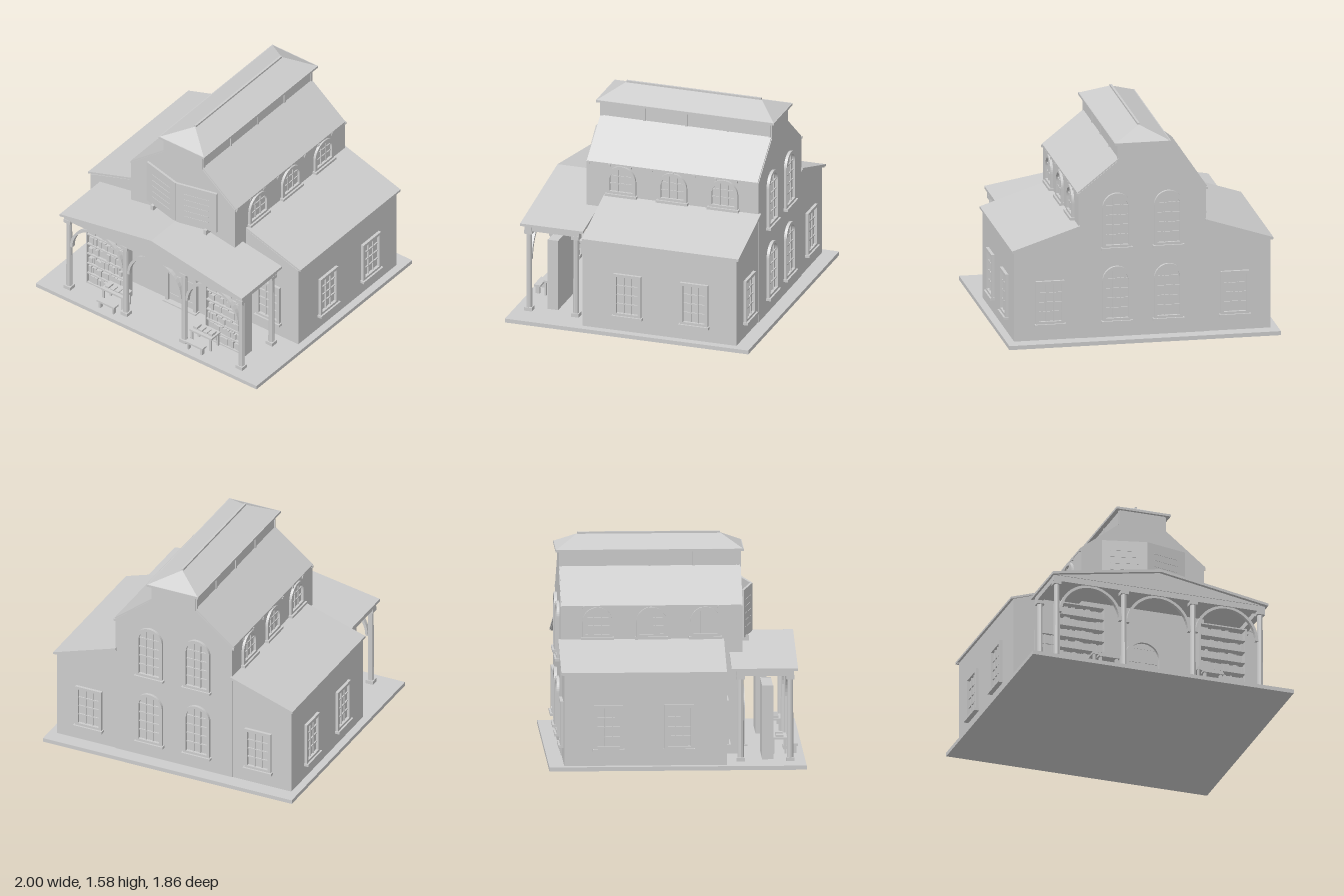
import * as THREE from 'three';

export function createModel() {
  const model = new THREE.Group();
  const stone = new THREE.MeshStandardMaterial({ color: 0xcccccc });
  stone.name = 'pale grey';

  function add(geo, name, parent = model) {
    const m = new THREE.Mesh(geo, stone);
    m.name = name;
    parent.add(m);
    return m;
  }
  // box given by its minimum and maximum corners
  function box(name, x0, x1, y0, y1, z0, z1, parent = model) {
    const m = add(new THREE.BoxGeometry(x1 - x0, y1 - y0, z1 - z0), name, parent);
    m.position.set((x0 + x1) / 2, (y0 + y1) / 2, (z0 + z1) / 2);
    return m;
  }
  const poly = pts => new THREE.Shape(pts.map(p => new THREE.Vector2(p[0], p[1])));
  // outline in xy, extruded from z0 to z1
  function prism(name, shape, z0, z1, parent = model) {
    const g = new THREE.ExtrudeGeometry(shape, { depth: z1 - z0, bevelEnabled: false, curveSegments: 12 });
    g.translate(0, 0, z0);
    return add(g, name, parent);
  }
  // upright outline with a square or round head
  function outline(w, h, round, y0 = 0) {
    const s = new THREE.Shape(), r = w / 2;
    s.moveTo(-r, y0);
    s.lineTo(r, y0);
    if (round) {
      s.lineTo(r, h - r);
      s.absarc(0, h - r, r, 0, Math.PI, false);
    } else {
      s.lineTo(r, h);
      s.lineTo(-r, h);
    }
    s.closePath();
    return s;
  }
  function win(name, w, h, round, x, y, z, turn, rows) {
    const g = new THREE.Group();
    g.name = name;
    const t = 0.022, frame = outline(w, h, round), iw = w - 2 * t;
    frame.holes.push(outline(iw, h - t, round, t));
    prism('windowFrame', frame, -0.01, 0.022, g);
    box('windowSill', -w / 2 - 0.01, w / 2 + 0.01, -0.015, 0.004, -0.01, 0.036, g);
    const top = round ? h - t - iw / 2 + Math.sqrt(iw * iw / 4 - iw * iw / 36) : h - t;
    for (const s of [-1, 1]) box('mullion', s * iw / 6 - 0.004, s * iw / 6 + 0.004, t, top, 0, 0.011, g);
    for (let i = 1; i < rows; i++) {
      const yy = t + (h - 2 * t) * i / rows;
      const over = round ? Math.max(0, yy - (h - w / 2)) : 0;
      const half = Math.sqrt(iw * iw / 4 - over * over);
      box('glazingBar', -half, half, yy - 0.004, yy + 0.004, 0, 0.01, g);
    }
    g.position.set(x, y, z);
    g.rotation.y = turn;
    model.add(g);
  }

  box('base', -1, 1, 0, 0.03, -0.93, 0.93);

  // tall central hall with raised lantern
  prism('hall', poly([[-0.47, 0.03], [0.47, 0.03], [0.47, 1.115], [0.175, 1.35], [0.175, 1.47],
    [-0.175, 1.47], [-0.175, 1.35], [-0.47, 1.115]]), -0.825, 0.49);
  box('lanternEave', -0.207, 0.207, 1.468, 1.485, -0.85, 0.51);
  // hipped lantern roof, from eave corners to a ridge
  const A = [-0.2, 1.485, 0.505], B = [0.2, 1.485, 0.505], C = [0.2, 1.485, -0.845], D = [-0.2, 1.485, -0.845];
  const E = [0, 1.572, 0.345], F = [0, 1.572, -0.685];
  const hip = new THREE.BufferGeometry();
  hip.setAttribute('position', new THREE.Float32BufferAttribute(
    [A, B, E, B, C, F, B, F, E, C, D, F, D, A, E, D, E, F].flat(), 3));
  hip.computeVertexNormals();
  add(hip, 'lanternRoof');
  box('ridgeCap', -0.008, 0.008, 1.56, 1.583, -0.685, 0.345);

  for (const s of [-1, 1]) {
    const P = pts => poly(pts.map(([x, y]) => [s * x, y]));
    prism('hallRoof', P([[0.17, 1.352], [0.478, 1.108], [0.478, 1.122], [0.17, 1.366]]), -0.82, 0.483);
    for (let i = 0; i < 5; i++) {
      const z = -0.81 + i * 0.32;
      box('lanternPost', s * 0.177 - 0.005, s * 0.177 + 0.005, 1.36, 1.47, z - 0.008, z + 0.008);
    }
    for (let i = 0; i < 9; i++) {
      const z = 0.475 - i * 0.162;
      box('eaveBracket', s * 0.476 - 0.008, s * 0.476 + 0.008, 1.098, 1.116, z - 0.007, z + 0.007);
    }
    // side wing with lean-to roof
    prism('wing', P([[0.46, 0.03], [0.943, 0.03], [0.943, 0.7], [0.46, 0.86]]), -0.82, 0.355);
    prism('wingRoof', P([[0.46, 0.862], [0.962, 0.698], [0.962, 0.714], [0.46, 0.878]]), -0.842, 0.355);
    prism('wingRoofVerge', P([[0.46, 0.85], [0.955, 0.692], [0.955, 0.71], [0.46, 0.872]]), -0.835, -0.81);

    // windows
    for (const z of [0.01, -0.5]) win('sideWindow', 0.21, 0.325, false, s * 0.943, 0.15, z, s * Math.PI / 2, 4);
    for (const z of [0.22, -0.17, -0.56]) win('upperSideWindow', 0.22, 0.22, true, s * 0.467, 0.89, z, s * Math.PI / 2, 3);
    win('wingBackWindow', 0.21, 0.325, false, s * 0.68, 0.15, -0.82, Math.PI, 4);
    win('wingFrontWindow', 0.21, 0.325, false, s * 0.68, 0.15, 0.355, 0, 4);
    for (const y of [0.15, 0.7]) win('backArchedWindow', 0.21, 0.41, true, s * 0.19, y, -0.825, Math.PI, 5);
  }

  // porch: gable roof, beams, columns and arches
  prism('porchGable', poly([[-0.79, 0.698], [0.79, 0.698], [0, 0.835]]), 0.42, 0.85);
  for (const s of [-1, 1]) {
    prism('porchRoof', poly([[0, 0.835], [s * 0.825, 0.693], [s * 0.825, 0.712], [0, 0.856]]), 0.395, 0.875);
    box('porchSideBeam', s * 0.785 - 0.022, s * 0.785 + 0.022, 0.655, 0.698, 0.43, 0.83);
  }
  box('porchFrontBeam', -0.81, 0.81, 0.655, 0.698, 0.795, 0.845);
  function column(x, z) {
    const g = new THREE.Group();
    g.name = 'porchColumn';
    const shaft = add(new THREE.CylinderGeometry(0.021, 0.023, 0.6, 8).toNonIndexed(), 'columnShaft', g);
    shaft.geometry.computeVertexNormals();
    shaft.position.y = 0.35;
    box('columnFoot', -0.03, 0.03, 0.03, 0.057, -0.03, 0.03, g);
    box('columnHead', -0.029, 0.029, 0.63, 0.66, -0.029, 0.029, g);
    g.position.set(x, 0, z);
    model.add(g);
  }
  for (const x of [-0.78, -0.265, 0.265, 0.78]) column(x, 0.82);
  for (const x of [-0.78, 0.78]) column(x, 0.462);
  function arch(x, r) {
    const s = new THREE.Shape();
    s.absarc(0, 0, r, 0, Math.PI, false);
    s.absarc(0, 0, r - 0.02, Math.PI, 0, true);
    prism('porchArch', s, 0.805, 0.835).position.set(x, 0.66 - r, 0);
  }
  arch(0, 0.245);
  arch(-0.5225, 0.24);
  arch(0.5225, 0.24);

  // arched double door
  const surround = outline(0.28, 0.42, true);
  surround.holes.push(outline(0.23, 0.395, true, 0));
  prism('doorSurround', surround, 0.48, 0.52).position.y = 0.03;
  prism('doorLeaves', outline(0.23, 0.395, true), 0.48, 0.498).position.y = 0.03;
  box('doorLintel', -0.12, 0.12, 0.38, 0.435, 0.485, 0.5);
  box('doorStep', -0.15, 0.15, 0.03, 0.04, 0.49, 0.54);
  box('doorSeam', -0.002, 0.002, 0.04, 0.42, 0.497, 0.501);
  for (const s of [-1, 1]) {
    for (const y of [0.09, 0.27]) box('doorHinge', s * 0.06 - 0.05, s * 0.06 + 0.05, y, y + 0.008, 0.497, 0.503);
    box('doorHandle', s * 0.028 - 0.004, s * 0.028 + 0.004, 0.155, 0.185, 0.497, 0.512);
  }

  // folded display board above the porch
  for (const s of [-1, 1]) {
    const g = new THREE.Group();
    g.name = 'displayBoard';
    box('boardPanel', -0.162, 0.162, 0.85, 1.2, -0.009, 0.009, g);
    for (let i = 0; i < 5; i++) box('boardBatten', -0.1, 0.1, 0.92 + i * 0.05, 0.924 + i * 0.05, 0.008, 0.012, g);
    g.position.set(s * 0.158, 0, 0.535);
    g.rotation.y = s * 0.235;
    model.add(g);
    for (const x of [0.07, 0.24]) box('boardBracket', s * x - 0.012, s * x + 0.012, 0.82, 0.86, 0.48, 0.545);
  }

  // bookcases, tables and benches on the porch
  let seed = 7;
  const rnd = () => (seed = (seed * 16807) % 2147483647) / 2147483647;
  for (const s of [-1, 1]) {
    const shelf = new THREE.Group();
    shelf.name = 'bookcase';
    box('bookcaseBack', -0.18, 0.18, 0.03, 0.57, 0.62, 0.63, shelf);
    for (const e of [-1, 1]) box('bookcaseSide', e * 0.176 - 0.006, e * 0.176 + 0.006, 0.03, 0.57, 0.62, 0.7, shelf);
    for (let i = 0; i <= 6; i++) {
      const y = 0.03 + i * 0.088;
      box('shelf', -0.175, 0.175, y, y + 0.01, 0.62, 0.699, shelf);
      if (i === 6) break;
      for (let x = -0.165; x < 0.145;) {
        const w = 0.014 + rnd() * 0.02;
        box('book', x, x + w - 0.001, y + 0.01, y + 0.05 + rnd() * 0.022, 0.63, 0.68 + rnd() * 0.012, shelf);
        x += w;
      }
    }
    shelf.position.x = s * 0.54;
    model.add(shelf);

    const set = new THREE.Group();
    set.name = 'tableAndBench';
    box('tableTop', -0.1, 0.1, 0.135, 0.15, 0.7, 0.81, set);
    box('benchSeat', -0.08, 0.08, 0.085, 0.1, 0.84, 0.89, set);
    for (const e of [-1, 1]) {
      for (const z of [0.712, 0.798]) box('tableLeg', e * 0.085 - 0.008, e * 0.085 + 0.008, 0.03, 0.135, z - 0.007, z + 0.007, set);
      box('benchLeg', e * 0.06 - 0.008, e * 0.06 + 0.008, 0.03, 0.085, 0.85, 0.88, set);
    }
    for (let i = 0; i < 4; i++) box('tableBook', -0.085 + i * 0.045, -0.05 + i * 0.045, 0.15, 0.16 + rnd() * 0.014, 0.73, 0.785, set);
    set.position.x = s * 0.4;
    model.add(set);
  }
  return model;
}
